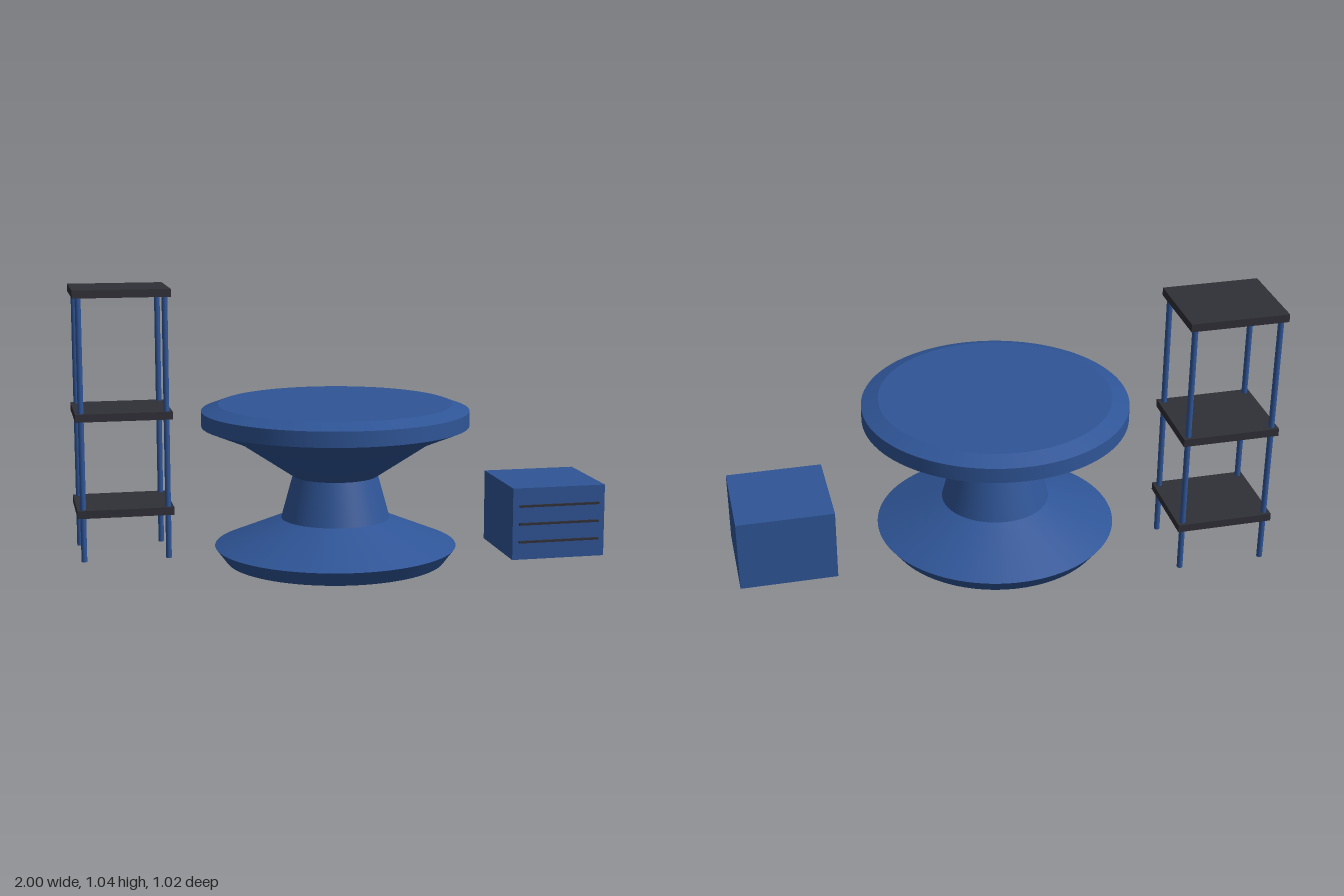
import * as THREE from 'three';
import { toCreasedNormals } from 'three/addons/utils/BufferGeometryUtils.js';

export function createModel() {
  const model = new THREE.Group();
  model.name = 'furnitureSet';

  const blue = new THREE.MeshStandardMaterial({ color: 0x2f5597 });
  blue.name = 'blue';
  const charcoal = new THREE.MeshStandardMaterial({ color: 0x2f2f37 });
  charcoal.name = 'charcoal';

  const add = (parent, name, geometry, material, x, y, z) => {
    const mesh = new THREE.Mesh(geometry, material);
    mesh.name = name;
    mesh.position.set(x, y, z);
    parent.add(mesh);
    return mesh;
  };
  const group = (name, x, z) => {
    const g = new THREE.Group();
    g.name = name;
    g.position.set(x, 0, z);
    model.add(g);
    return g;
  };

  // Round pedestal table: one turned profile from floor to top
  const table = group('table', -0.026, 0);
  const profile = [
    [0, 0], [0.42, 0], [0.463, 0.057], [0.208, 0.163], [0.163, 0.327],
    [0.37, 0.465], [0.51, 0.523], [0.51, 0.581], [0.445, 0.605], [0, 0.605],
  ].map(([r, y]) => new THREE.Vector2(r, y));
  const turned = toCreasedNormals(new THREE.LatheGeometry(profile, 96), 0.35);
  add(table, 'pedestalTable', turned, blue, 0, 0, 0);

  // Open shelf: three boards on four slim posts
  const shelf = group('shelf', -0.816, -0.279);
  const boardGeometry = new THREE.BoxGeometry(0.368, 0.03, 0.322);
  for (const y of [0.187, 0.558, 1.025]) {
    add(shelf, 'shelfBoard', boardGeometry, charcoal, 0, y, 0);
  }
  const postGeometry = new THREE.CylinderGeometry(0.011, 0.011, 1.012, 16);
  for (const sx of [-1, 1]) {
    for (const sz of [-1, 1]) {
      add(shelf, 'shelfPost', postGeometry, blue, sx * 0.162, 0.506, sz * 0.139);
    }
  }

  // Drawer cabinet with three dark strips on its front
  const cabinet = group('cabinet', 0.814, 0);
  add(cabinet, 'cabinetBody', new THREE.BoxGeometry(0.37, 0.28, 0.37), blue, 0, 0.14, 0);
  const stripGeometry = new THREE.BoxGeometry(0.32, 0.008, 0.014);
  for (const y of [0.07, 0.14, 0.21]) {
    add(cabinet, 'drawerStrip', stripGeometry, charcoal, 0, y, 0.188);
  }

  return model;
}
